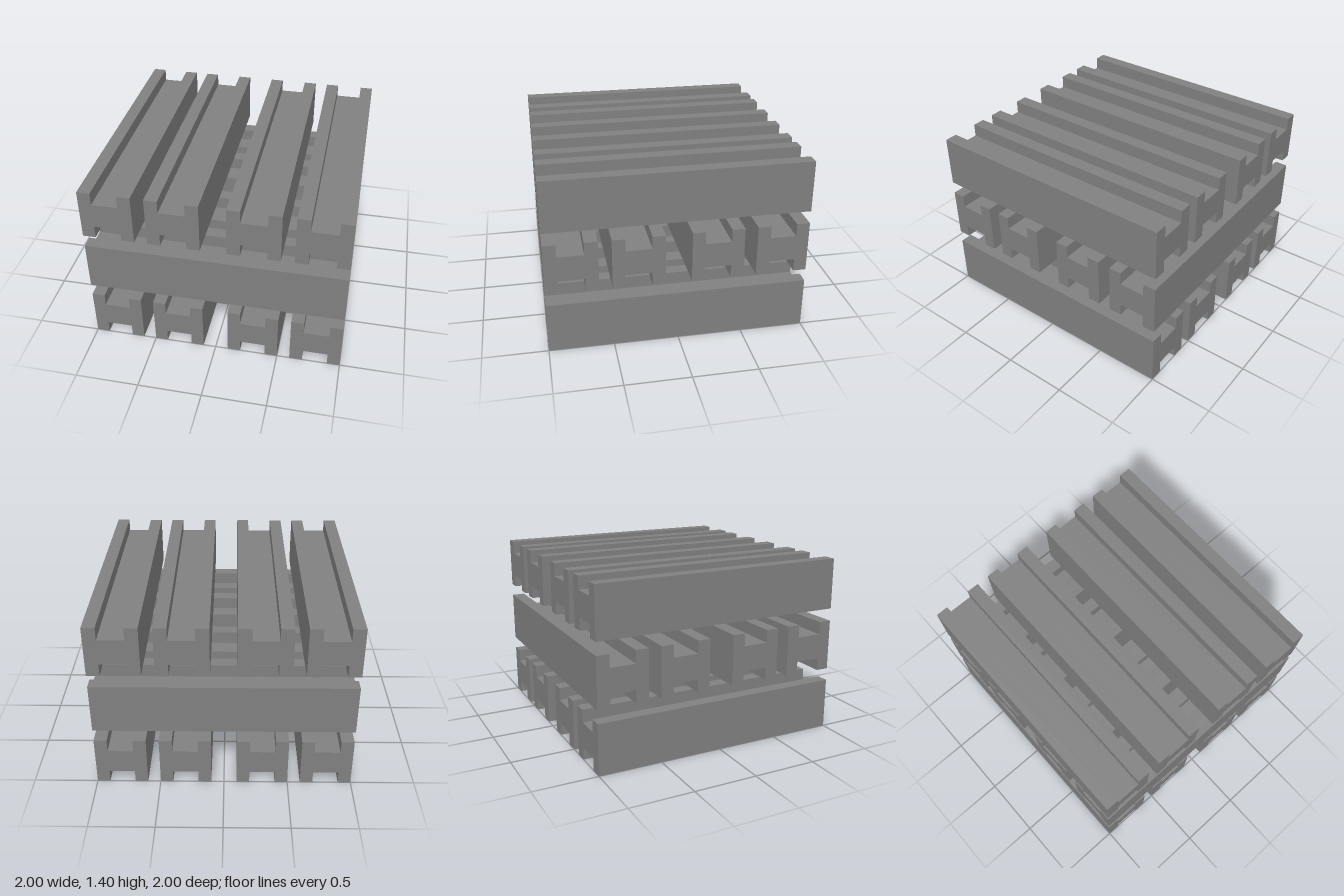
import * as THREE from 'three';

export function createModel() {
  const model = new THREE.Group();
  model.name = 'beamStack';
  const steel = new THREE.MeshStandardMaterial({ color: 0x808080 });
  steel.name = 'steel grey';

  // H-shaped section: two upright flanges joined by a thick web
  const section = new THREE.Shape([
    [-0.2, 0], [-0.1, 0], [-0.1, 0.1], [0.1, 0.1], [0.1, 0], [0.2, 0],
    [0.2, 0.4], [0.1, 0.4], [0.1, 0.3], [-0.1, 0.3], [-0.1, 0.4], [-0.2, 0.4],
  ].map(([x, y]) => new THREE.Vector2(x, y)));
  const beamGeometry = new THREE.ExtrudeGeometry(section, { depth: 2, bevelEnabled: false });
  beamGeometry.translate(0, 0, -1);

  // Three layers of four beams, the middle layer turned crosswise
  ['bottomLayer', 'middleLayer', 'topLayer'].forEach((name, i) => {
    const layer = new THREE.Group();
    layer.name = name;
    layer.position.y = i * 0.5;
    if (i === 1) layer.rotation.y = Math.PI / 2;
    [-0.8, -0.3, 0.3, 0.8].forEach((x, j) => {
      const beam = new THREE.Mesh(beamGeometry, steel);
      beam.name = `beam${j + 1}`;
      beam.position.x = x;
      layer.add(beam);
    });
    model.add(layer);
  });
  return model;
}
